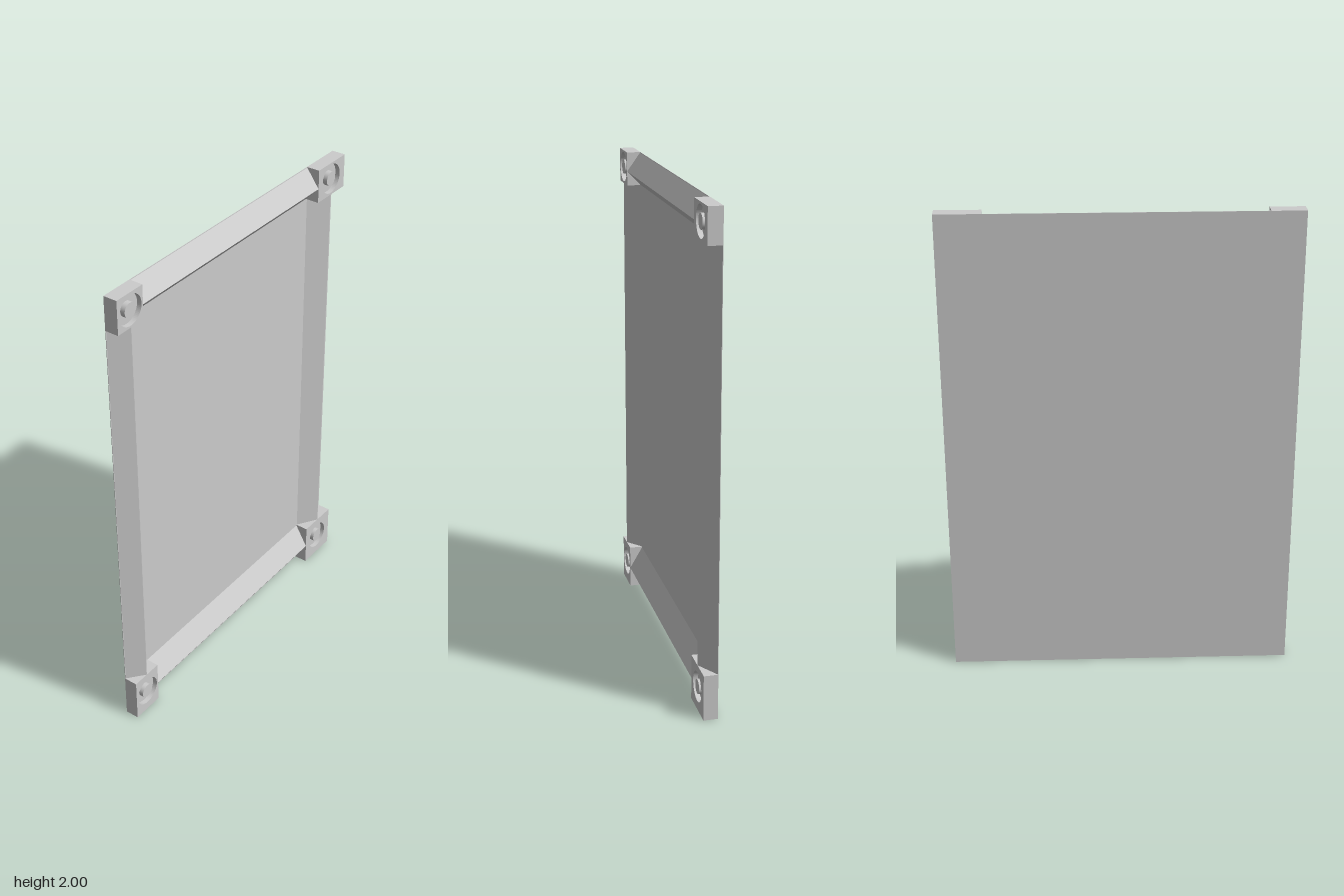
import * as THREE from 'three';

const HALF = 0.029;   // half thickness along x
const GROOVE = 0.02;  // depth of the ring groove
const material = new THREE.MeshStandardMaterial({ color: 0xcccccc });

// Face coordinates: u runs towards -z, v runs up, the relief faces +x.
const U0 = -0.715, U1 = 0.715, INNER_L = -0.575, INNER_R = 0.53;
const V0 = 0, V1 = 2, INNER_B = 0.19, INNER_T = 1.86;

function mesh(name, geometry) {
  const m = new THREE.Mesh(geometry, material);
  m.name = name;
  return m;
}

// Triangular bar: wide base on the back plane, ridge at the front
function ridgeProfile(a, ridge, b) {
  return new THREE.Shape([
    new THREE.Vector2(-HALF, a),
    new THREE.Vector2(HALF, ridge),
    new THREE.Vector2(-HALF, b),
  ]);
}

function horizontalRail(name, a, ridge, b) {
  const g = new THREE.ExtrudeGeometry(ridgeProfile(a, ridge, b), { depth: INNER_R - INNER_L, bevelEnabled: false });
  g.translate(0, 0, -INNER_R);
  return mesh(name, g);
}

function verticalRail(name, a, ridge, b) {
  const g = new THREE.ExtrudeGeometry(ridgeProfile(a, ridge, b), { depth: INNER_T - INNER_B, bevelEnabled: false });
  g.rotateX(-Math.PI / 2).translate(0, INNER_B, 0);
  return mesh(name, g);
}

// Corner block with a ring groove around a flush round post
function cornerBlock(name, u0, u1, v0, v1, cu, cv) {
  const group = new THREE.Group();
  group.name = name;

  const baseDepth = 2 * HALF - GROOVE;
  const base = new THREE.BoxGeometry(baseDepth, v1 - v0, u1 - u0);
  base.translate(-HALF + baseDepth / 2, (v0 + v1) / 2, -(u0 + u1) / 2);
  group.add(mesh(name + 'Base', base));

  const face = new THREE.Shape([[u0, v0], [u1, v0], [u1, v1], [u0, v1]].map(p => new THREE.Vector2(...p)));
  face.holes.push(new THREE.Path().absarc(cu, cv, 0.062, 0, Math.PI * 2, true));
  const plate = new THREE.ExtrudeGeometry(face, { depth: GROOVE, bevelEnabled: false, curveSegments: 32 });
  plate.rotateY(Math.PI / 2).translate(HALF - GROOVE, 0, 0);
  group.add(mesh(name + 'Face', plate));

  const post = new THREE.CylinderGeometry(0.03, 0.03, GROOVE, 32);
  post.rotateZ(-Math.PI / 2).translate(HALF - GROOVE / 2, cv, -cu);
  group.add(mesh(name + 'Post', post));
  return group;
}

export function createModel() {
  const model = new THREE.Group();
  model.name = 'framedPanel';

  // Flat sheet closing the back
  const sheet = new THREE.BoxGeometry(0.002, V1 - V0, U1 - U0);
  sheet.translate(-HALF + 0.001, (V0 + V1) / 2, 0);
  model.add(mesh('backPanel', sheet));

  // Ridged rails on the four sides
  model.add(
    horizontalRail('topRail', INNER_T, 1.92, V1),
    horizontalRail('bottomRail', V0, 0.09, INNER_B),
    verticalRail('frontRail', U0, -0.645, INNER_L),
    verticalRail('rearRail', INNER_R, 0.62, U1),
  );

  // Corner blocks
  const columns = [['Front', U0, INNER_L, -0.645], ['Rear', INNER_R, U1, 0.62]];
  const rows = [['top', INNER_T, V1, 1.93], ['bottom', V0, INNER_B, 0.098]];
  for (const [side, u0, u1, cu] of columns) {
    for (const [level, v0, v1, cv] of rows) {
      model.add(cornerBlock(level + side + 'Corner', u0, u1, v0, v1, cu, cv));
    }
  }
  return model;
}
